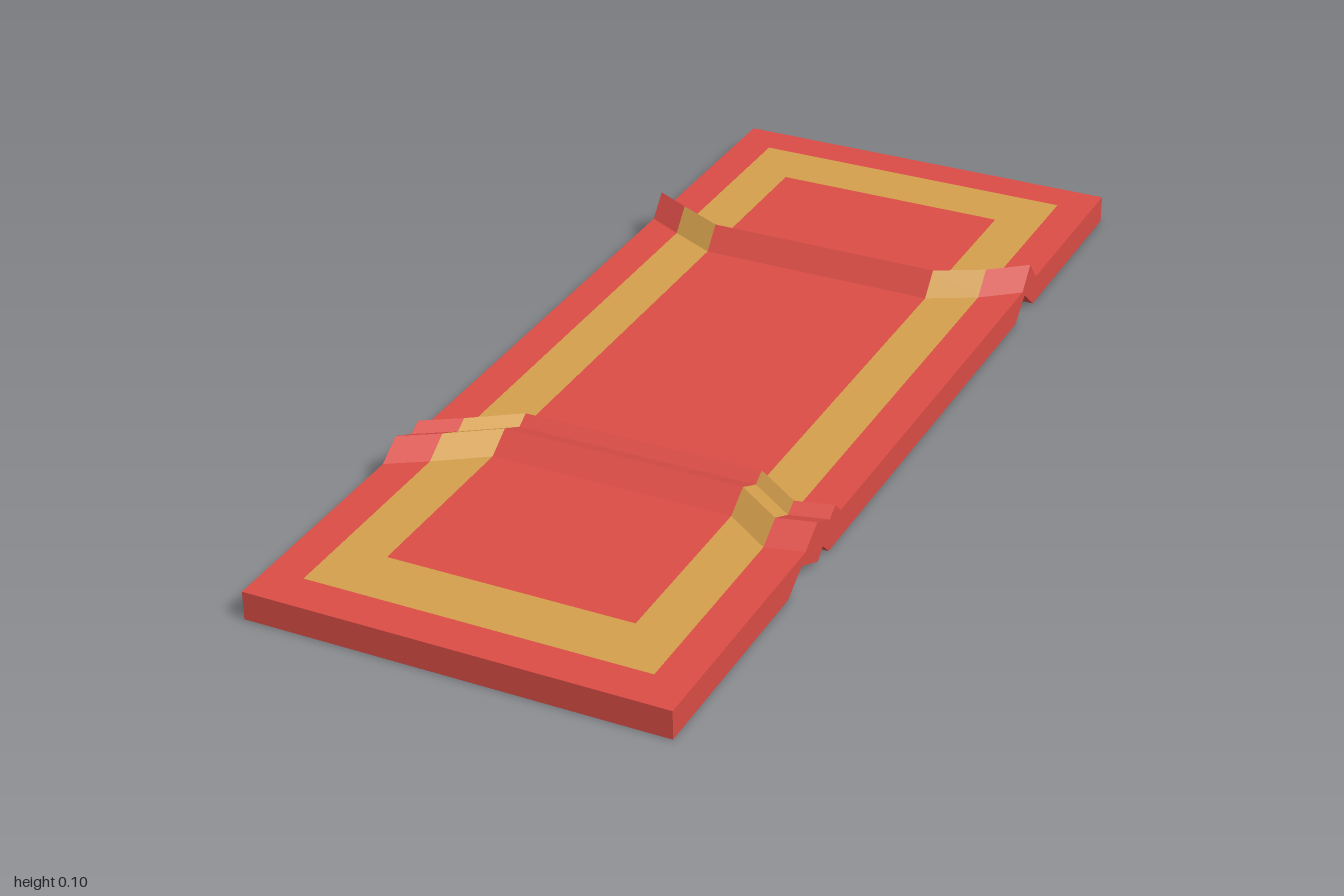
import * as THREE from 'three';

// Column stations across the rug: edge, outer and inner side of the border band.
const X = [-0.393, -0.323, -0.232, 0.232, 0.323, 0.393];

// How far each ridge swerves in z at every column.
const backBend = [-0.085, -0.047, 0, 0, -0.047, -0.103];
const frontBend = [0.105, 0.062, 0, 0, 0.067, 0.05];

// Rows from back to front: top z and y, underside z and y, ridge bend.
const T = 0.054;
const flat = (z) => ({ z, y: T, uz: z, uy: 0 });
const back = (z, y, uz, uy) => ({ z, y, uz, uy, bend: backBend });
const front = (z, y, uz, uy) => ({ z, y, uz, uy, bend: frontBend });
const ROWS = [
  flat(-1), flat(-0.926), flat(-0.81),
  back(-0.508, T, -0.6, 0), back(-0.471, 0.097, -0.55, 0.042), back(-0.434, T, -0.505, 0),
  front(0.296, T, 0.397, 0), front(0.32, 0.077, 0.421, 0.024), front(0.344, 0.062, 0.442, 0.005),
  front(0.397, 0.086, 0.51, 0.035), front(0.444, T, 0.564, 0),
  flat(0.807), flat(0.923), flat(1),
];

const top = (r, c) => [X[c], ROWS[r].y, ROWS[r].z + (ROWS[r].bend ? ROWS[r].bend[c] : 0)];
const under = (r, c) => [X[c], ROWS[r].uy, ROWS[r].uz];

function mesh(name, color, positions) {
  const geometry = new THREE.BufferGeometry();
  geometry.setAttribute('position', new THREE.Float32BufferAttribute(positions, 3));
  geometry.computeVertexNormals();
  const m = new THREE.Mesh(geometry, new THREE.MeshStandardMaterial({ color, flatShading: true }));
  m.name = name;
  return m;
}

export function createModel() {
  const field = [], band = [], body = [];
  const quad = (list, a, b, c, d) => list.push(...a, ...b, ...c, ...a, ...c, ...d);
  const nr = ROWS.length - 1, nc = X.length - 1;

  for (let r = 0; r < nr; r++) {
    for (let c = 0; c < nc; c++) {
      // Upper surface: the border band is the ring one cell in from the edge
      const inside = r > 0 && r < nr - 1 && c > 0 && c < nc - 1;
      const ring = inside && (r === 1 || r === nr - 2 || c === 1 || c === nc - 2);
      quad(ring ? band : field, top(r, c), top(r + 1, c), top(r + 1, c + 1), top(r, c + 1));
    }
    // Underside with straight grooves
    quad(body, under(r, 0), under(r, nc), under(r + 1, nc), under(r + 1, 0));
    // Long side edges
    quad(body, under(r, nc), top(r, nc), top(r + 1, nc), under(r + 1, nc));
    quad(body, under(r, 0), under(r + 1, 0), top(r + 1, 0), top(r, 0));
  }
  // Short end edges
  quad(body, under(nr, 0), under(nr, nc), top(nr, nc), top(nr, 0));
  quad(body, under(0, 0), top(0, 0), top(0, nc), under(0, nc));

  const rug = new THREE.Group();
  rug.name = 'rug';
  rug.add(
    mesh('rugField', 0xd94c45, field),
    mesh('borderBand', 0xd49f4c, band),
    mesh('rugEdgesAndUnderside', 0xd94c45, body),
  );
  return rug;
}
